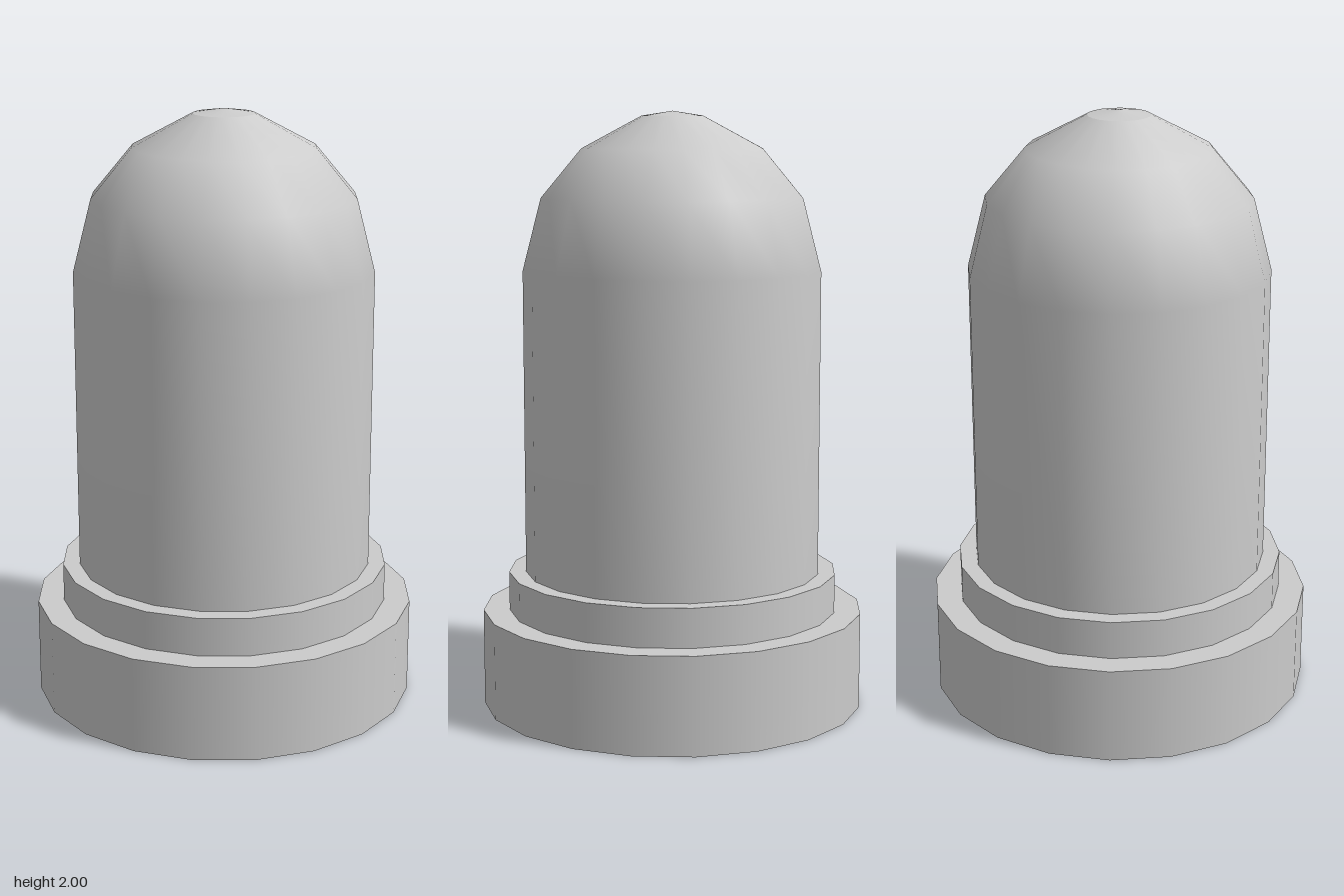
import * as THREE from 'three';

const SIDES = 20;

export function createModel() {
  const group = new THREE.Group();
  const material = new THREE.MeshStandardMaterial({ color: 0xcccccc });

  const add = (name, geometry, y = 0) => {
    const mesh = new THREE.Mesh(geometry, material);
    mesh.name = name;
    mesh.position.y = y;
    group.add(mesh);
  };
  const disc = (name, radius, bottom, top) =>
    add(name, new THREE.CylinderGeometry(radius, radius, top - bottom, SIDES), (bottom + top) / 2);
  const turned = (name, profile) =>
    add(name, new THREE.LatheGeometry(profile.map(([r, y]) => new THREE.Vector2(r, y)), SIDES));

  // Stepped foot
  disc('base', 0.645, 0, 0.325);
  disc('collar', 0.557, 0.325, 0.455);

  // Straight body running smoothly into the dome
  turned('domedBody', [[0.5, 0.455], [0.5, 1.475], [0.438, 1.715], [0.303, 1.877], [0.103, 1.984]]);

  // Shallow cap with its own crease at the rim
  turned('domeTip', [[0.103, 1.984], [0, 2]]);

  return group;
}
